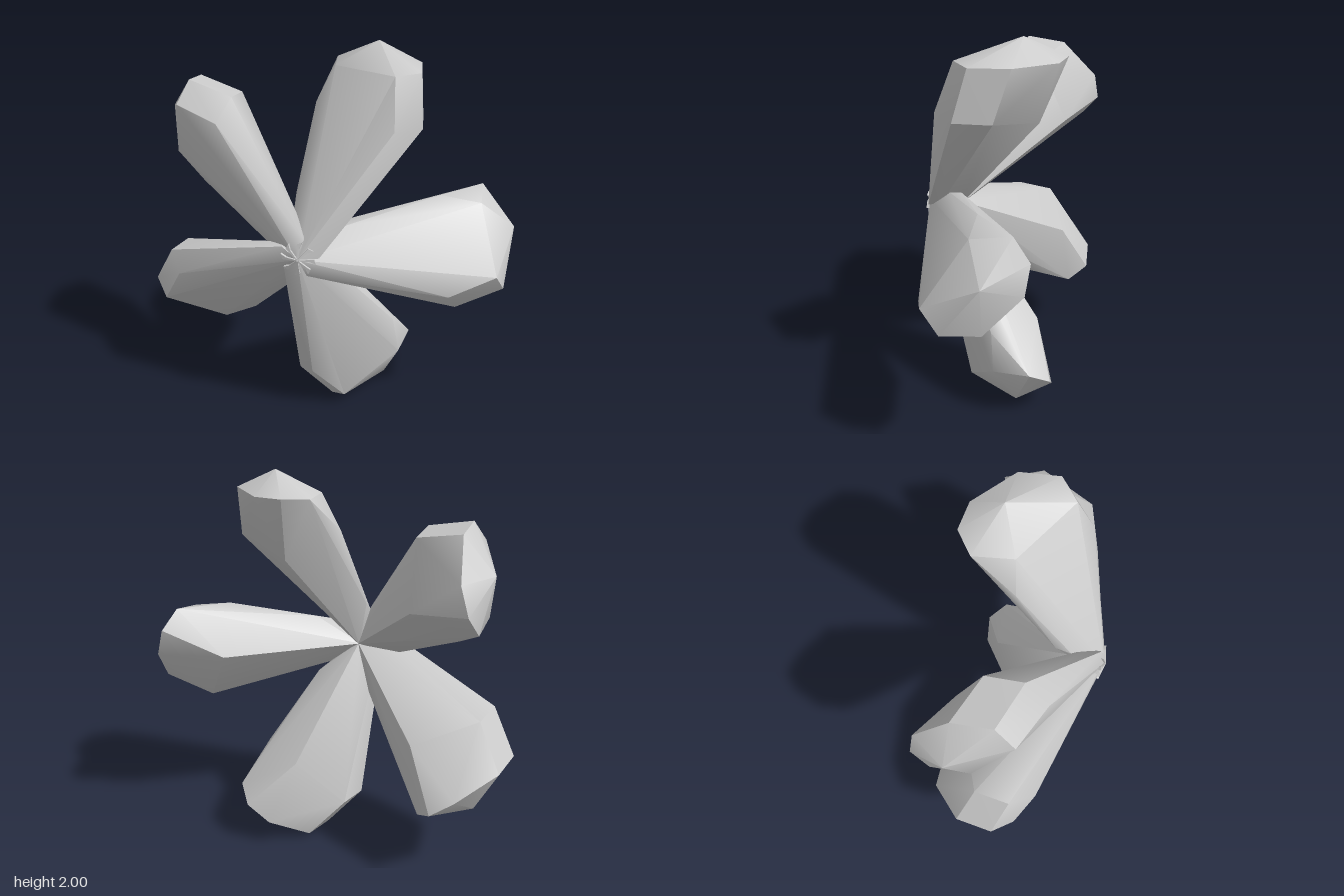
import * as THREE from 'three';
import { ConvexGeometry } from 'three/addons/geometries/ConvexGeometry.js';
import { toCreasedNormals } from 'three/addons/utils/BufferGeometryUtils.js';

const material = new THREE.MeshStandardMaterial({ color: 0xcccccc });

// One faceted petal growing outward along +x and sweeping back in z
function petalGeometry() {
  const corners = [
    // narrow base at the hub
    [0, 0, 0.38], [0.04, -0.095, 0.355], [0.06, -0.1, 0.28],
    [0.17, 0.12, 0.21], [0.22, 0.147, 0.13], [-0.01, 0, 0.2],
    // wide shoulder
    [0.735, -0.215, 0.19], [0.76, -0.33, 0.07], [0.752, -0.307, -0.12],
    [0.58, -0.02, -0.265], [0.638, 0.228, -0.08],
    // blunt tip
    [0.962, -0.12, 0.1], [0.996, -0.228, 0], [0.99, -0.2, -0.2],
    [1.018, 0.04, -0.2], [0.92, -0.015, -0.375], [0.874, 0.127, -0.39],
    [0.834, 0.228, -0.3], [0.846, 0.196, -0.1],
  ].map((c) => new THREE.Vector3(...c));
  return toCreasedNormals(new ConvexGeometry(corners), 0.7);
}

// Small flared ridge of the star at the hub
function spokeGeometry() {
  const shape = new THREE.Shape([
    [0, -0.003], [0.06, -0.006], [0.09, -0.02], [0.08, 0.008], [0.06, 0.006], [0, 0.003],
  ].map((p) => new THREE.Vector2(...p)));
  return new THREE.ExtrudeGeometry(shape, { depth: 0.015, bevelEnabled: false });
}

export function createModel() {
  const model = new THREE.Group();
  model.name = 'flower';
  const blossom = new THREE.Group();
  blossom.name = 'blossom';
  blossom.position.set(-0.04, 1.02, 0);
  model.add(blossom);

  // Five identical petals around the hub
  const petal = petalGeometry();
  for (let i = 0; i < 5; i++) {
    const mesh = new THREE.Mesh(petal, material);
    mesh.name = 'petal' + (i + 1);
    mesh.rotation.z = (i * Math.PI * 2) / 5;
    blossom.add(mesh);
  }

  // Star of ridges in the middle, sloping back with the petals
  const spoke = spokeGeometry();
  for (let i = 0; i < 8; i++) {
    const arm = new THREE.Group();
    arm.name = 'starRidge' + (i + 1);
    arm.rotation.z = (i * Math.PI) / 4;
    const mesh = new THREE.Mesh(spoke, material);
    mesh.name = 'ridge';
    mesh.position.z = 0.374;
    mesh.rotation.y = 0.22;
    arm.add(mesh);
    blossom.add(arm);
  }
  return model;
}
